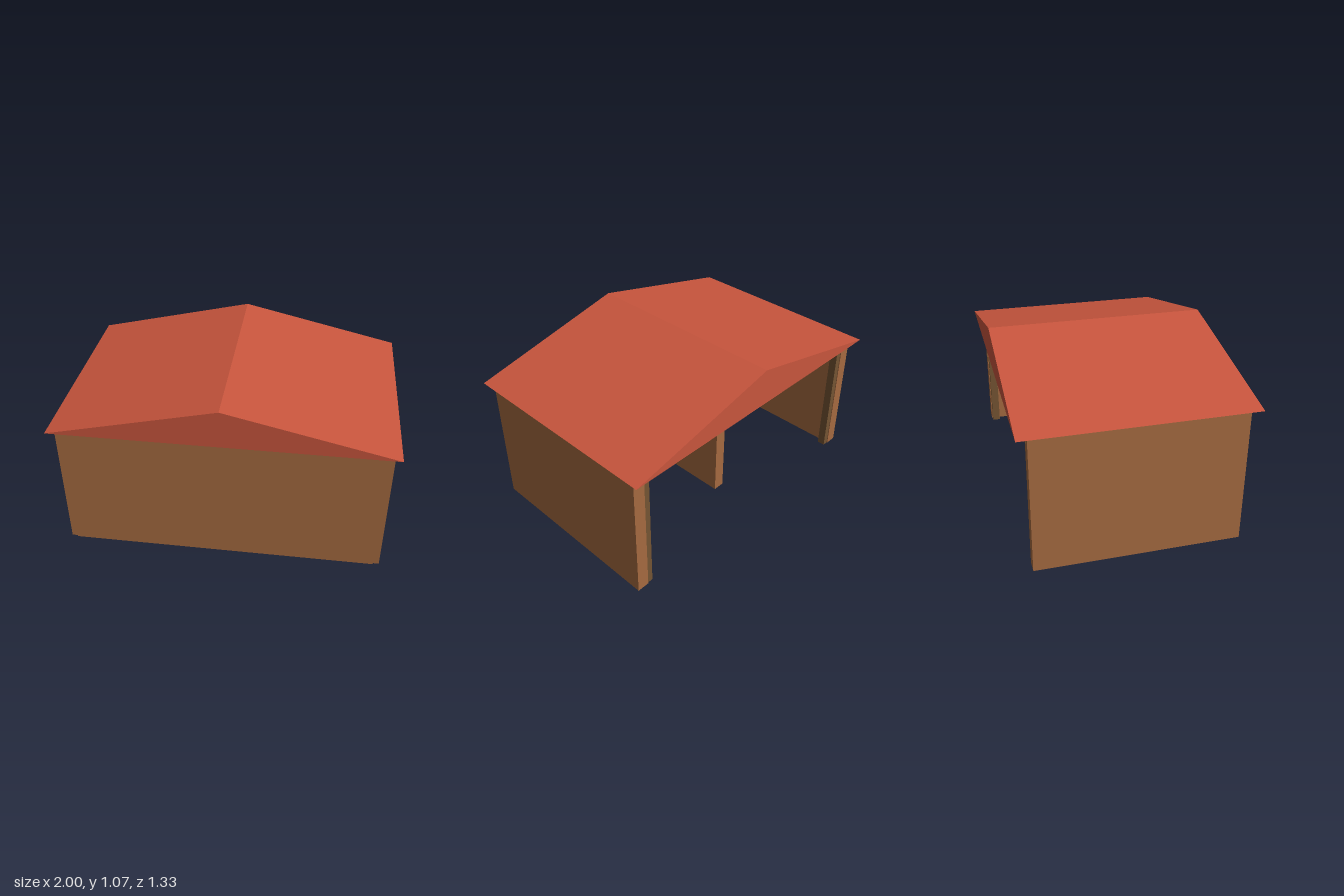
import * as THREE from 'three';

export function createModel() {
  const group = new THREE.Group();
  const mat = (name, color) => {
    const m = new THREE.MeshStandardMaterial({ color });
    m.name = name;
    return m;
  };
  const wood = mat('wall brown', 0xa56a40);
  const trim = mat('frame brown', 0x755433);
  const red = mat('roof red', 0xc8553d);

  const wallTop = 0.837;

  // Box given by its lower and upper corners
  const box = (name, material, [x0, y0, z0], [x1, y1, z1]) => {
    const mesh = new THREE.Mesh(new THREE.BoxGeometry(x1 - x0, y1 - y0, z1 - z0), material);
    mesh.position.set((x0 + x1) / 2, (y0 + y1) / 2, (z0 + z1) / 2);
    mesh.name = name;
    group.add(mesh);
  };

  // Closed front wall, standing slightly proud of the side walls
  box('frontWall', wood, [-0.928, 0, 0.545], [0.928, wallTop, 0.618]);

  // Partition between the two bays, stopping short of the opening
  box('partition', wood, [-0.037, 0, -0.352], [0.037, wallTop, 0.55]);

  // Side walls and door jambs
  for (const [side, s] of [['left', 1], ['right', -1]]) {
    const span = (a, b) => [Math.min(s * a, s * b), Math.max(s * a, s * b)];
    const [w0, w1] = span(0.89, 0.965);
    box(side + 'Wall', wood, [w0, 0, -0.605], [w1, wallTop, 0.609]);
    const [j0, j1] = span(0.852, 0.89);
    box(side + 'Jamb', trim, [j0, 0, -0.6], [j1, 0.79, -0.55]);
  }

  // Lintel and inner frame head over the open back
  box('lintel', trim, [-0.928, 0.782, -0.609], [0.928, wallTop, -0.57]);
  box('frameHead', trim, [-0.89, 0.765, -0.598], [0.89, 0.8, -0.55]);

  // Solid gable roof
  const gable = new THREE.Shape([
    new THREE.Vector2(-1, 0.836),
    new THREE.Vector2(1, 0.836),
    new THREE.Vector2(0, 1.067),
  ]);
  const roofGeometry = new THREE.ExtrudeGeometry(gable, { depth: 1.334, bevelEnabled: false });
  roofGeometry.translate(0, 0, -0.667);
  const roof = new THREE.Mesh(roofGeometry, red);
  roof.name = 'roof';
  group.add(roof);

  return group;
}
